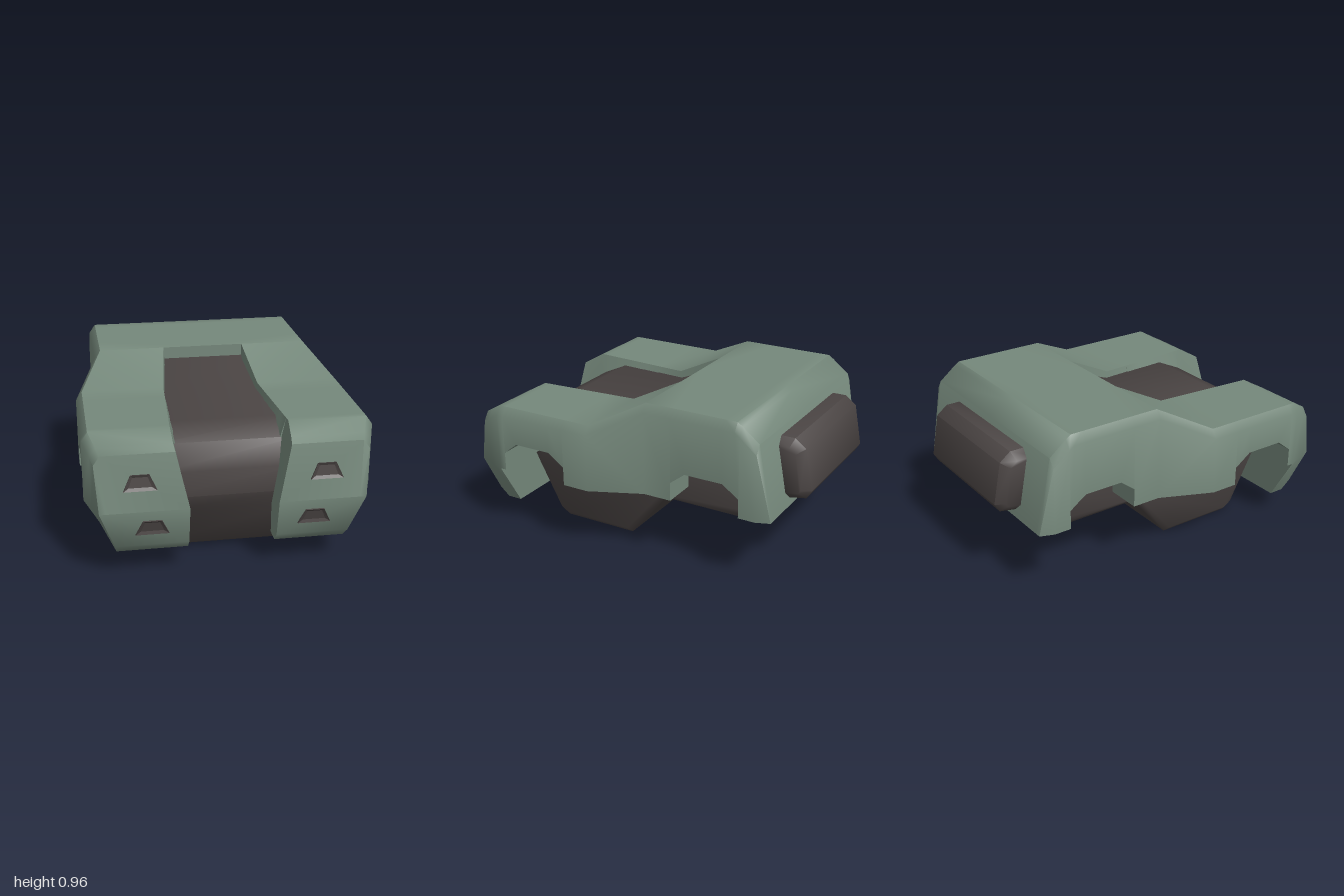
import * as THREE from 'three';
import { toCreasedNormals } from 'three/addons/utils/BufferGeometryUtils.js';

const green = new THREE.MeshStandardMaterial({ color: 0x75887b });
green.name = 'shell green';
const dark = new THREE.MeshStandardMaterial({ color: 0x4a4443 });
dark.name = 'core charcoal';

function mesh(geometry, material, name) {
  const m = new THREE.Mesh(geometry, material);
  m.name = name;
  return m;
}

// Joins equal-length loops (counter-clockwise seen from +z, ordered by rising z)
function loft(rings, mirror) {
  const pos = [];
  const ab = new THREE.Vector3(), ac = new THREE.Vector3();
  const tri = (a, b, c) => {
    if (ab.subVectors(b, a).cross(ac.subVectors(c, a)).length() < 1e-7) return;
    if (mirror && !a.x && !b.x && !c.x) return; // no wall on the centre line
    for (const p of [a, b, c]) pos.push(p.x, p.y, p.z);
    if (mirror) for (const p of [a, c, b]) pos.push(-p.x, p.y, p.z);
  };
  for (let i = 0; i + 1 < rings.length; i++) {
    const r = rings[i], s = rings[i + 1], n = r.length;
    for (let j = 0; j < n; j++) {
      const k = (j + 1) % n;
      tri(r[j], r[k], s[k]);
      tri(r[j], s[k], s[j]);
    }
  }
  const g = new THREE.BufferGeometry();
  g.setAttribute('position', new THREE.Float32BufferAttribute(pos, 3));
  return g;
}

// Half cross-section of the shell: bottom, top, outer and inner extents at z
function shellRing([z, yb, yt, xo, xiTop, xiLow = xiTop && 0.24, xb = xo]) {
  const mid = Math.max(yb, 0.42);
  return [
    [xiLow, yb], [xb, yb], [xo, mid], [xo, Math.max(mid, yt - 0.05)],
    [xo - 0.035, yt], [xiTop, yt], [xiLow, mid],
  ].map(([x, y]) => new THREE.Vector3(x, y, z));
}

// Side profile in (z, y), extruded across x with chamfered edges
function sideExtrude(points, halfWidth, bevel) {
  const shape = new THREE.Shape(points.map(([z, y]) => new THREE.Vector2(z, y)));
  const depth = 2 * (halfWidth - bevel);
  const g = new THREE.ExtrudeGeometry(shape, {
    depth, bevelEnabled: true, bevelThickness: bevel, bevelSize: bevel,
    bevelOffset: -bevel, bevelSegments: 1,
  });
  g.translate(0, 0, -depth / 2).rotateY(-Math.PI / 2);
  return toCreasedNormals(g, 0.9);
}

// Trapezoid vent: a sloped rim around a sunken plate
function ventGeometry() {
  const loop = (bottom, top, h, z, lift = 0) => [
    [-bottom, -h + lift], [bottom, -h + lift], [top, h], [-top, h],
  ].map(([x, y]) => new THREE.Vector3(x, y, z));
  const centre = [0, 0, 0, 0].map(() => new THREE.Vector3(0, 0, 0.001));
  const g = loft([
    loop(0.09, 0.05, 0.044, -0.006),
    loop(0.09, 0.05, 0.044, 0.009),
    loop(0.062, 0.04, 0.03, 0.001, 0.004),
    centre,
  ], false);
  g.computeVertexNormals();
  return g;
}

export function createModel() {
  const model = new THREE.Group();
  model.name = 'armouredVehicleBody';

  // Shell: repeated z values make the wheel arches and the end of the channel
  const stations = [
    [-0.88, 0.42, 0.42, 0.63, 0],
    [-0.80, 0.42, 0.86, 0.66, 0],
    [-0.70, 0.42, 0.94, 0.66, 0],
    [-0.70, 0.53, 0.94, 0.66, 0],
    [-0.67, 0.553, 0.96, 0.66, 0],
    [-0.60, 0.60, 0.96, 0.66, 0],
    [-0.37, 0.60, 0.96, 0.66, 0],
    [-0.28, 0.53, 0.96, 0.66, 0],
    [-0.28, 0.42, 0.96, 0.66, 0],
    [-0.11, 0.42, 0.96, 0.66, 0],
    [-0.11, 0.42, 0.96, 0.66, 0.24],
    [0.19, 0.42, 0.81, 0.79, 0.28],
    [0.35, 0.42, 0.81, 0.79, 0.29],
    [0.35, 0.53, 0.81, 0.79, 0.29],
    [0.45, 0.60, 0.81, 0.79, 0.297],
    [0.68, 0.60, 0.81, 0.79, 0.312],
    [0.77, 0.53, 0.81, 0.79, 0.318],
    [0.77, 0.42, 0.81, 0.79, 0.318],
    [0.81, 0.42, 0.81, 0.79, 0.32],
    [0.81, 0.145, 0.81, 0.79, 0.32, 0.24, 0.63],
    [0.90, 0.145, 0.757, 0.755, 0.315, 0.24, 0.63],
    [0.95, 0.20, 0.73, 0.738, 0.31, 0.24, 0.64],
    [1.00, 0.42, 0.42, 0.72, 0.24],
  ];
  model.add(mesh(toCreasedNormals(loft(stations.map(shellRing), true), 0.9), green, 'outerShell'));

  // Inner core: fills the channel and arches and forms the belly
  model.add(mesh(sideExtrude([
    [-0.11, 0.29], [0.13, 0], [0.60, 0], [0.66, 0.04], [0.81, 0.32], [0.86, 0.42],
    [0.84, 0.56], [0.77, 0.70], [0.62, 0.77], [0.18, 0.77], [-0.11, 0.89], [-0.20, 0.89],
    [-0.74, 0.68], [-0.74, 0.50], [-0.70, 0.42], [-0.66, 0.33], [-0.60, 0.29],
  ], 0.45, 0.035), dark, 'innerCore'));

  // Pack on the back
  model.add(mesh(sideExtrude([
    [-0.72, 0.82], [-0.89, 0.82], [-0.955, 0.77], [-1.0, 0.53], [-0.97, 0.48],
    [-0.86, 0.46], [-0.72, 0.46],
  ], 0.415, 0.045), dark, 'rearPack'));

  // Front vents, two on each fender
  const vent = ventGeometry();
  for (const side of [-1, 1]) {
    const upper = mesh(vent, dark, side > 0 ? 'upperVentLeft' : 'upperVentRight');
    upper.position.set(side * 0.5, 0.578, 0.975);
    upper.rotation.x = -0.16;
    const lower = mesh(vent, dark, side > 0 ? 'lowerVentLeft' : 'lowerVentRight');
    lower.position.set(side * 0.44, 0.318, 0.977);
    lower.rotation.x = 0.224;
    model.add(upper, lower);
  }
  return model;
}
